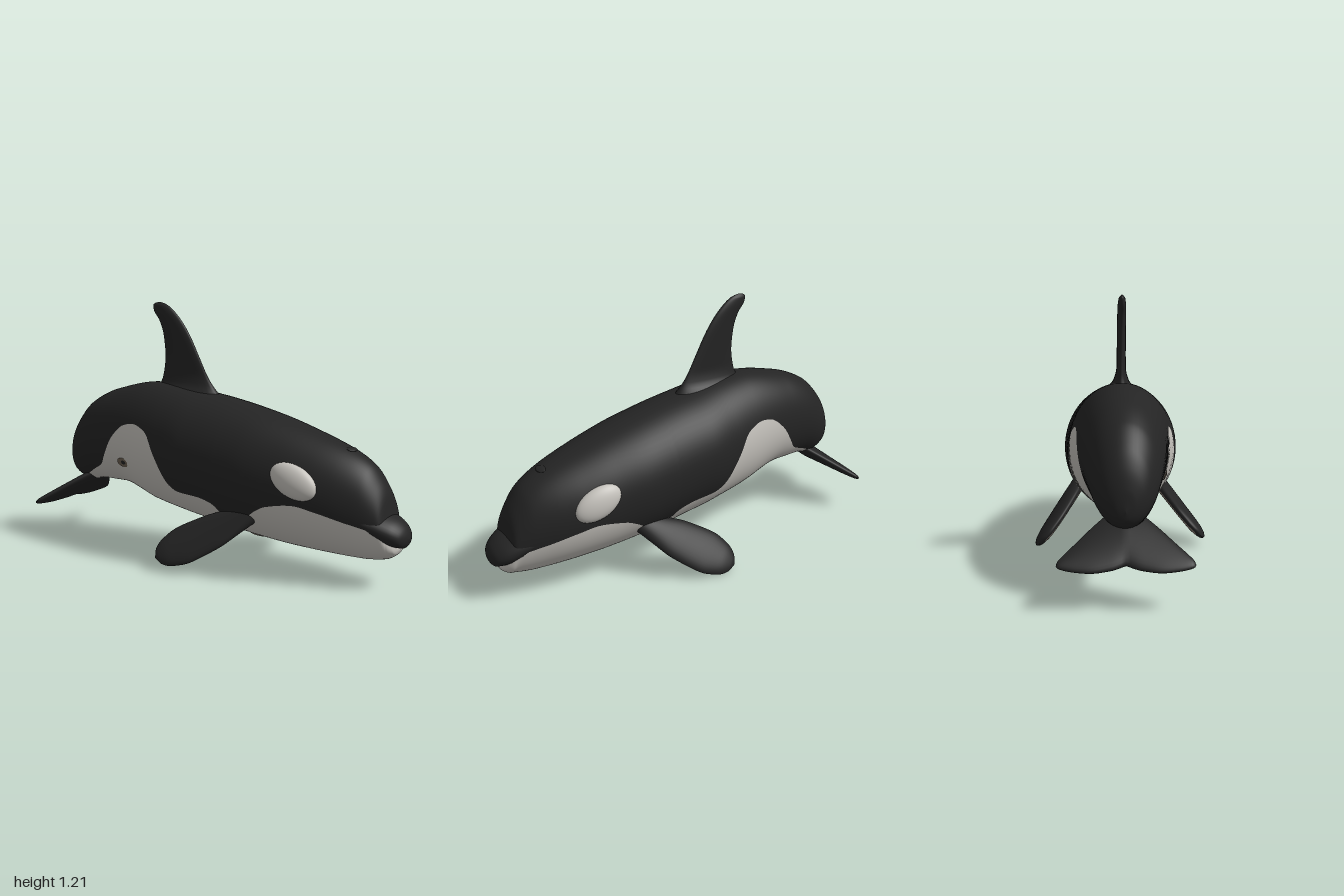
import * as THREE from 'three';

const paint = (name, color) => {
  const m = new THREE.MeshStandardMaterial({ color });
  m.name = name;
  return m;
};
const black = paint('black skin', 0x242424);
const white = paint('white skin', 0xc6c3bd);
const taupe = paint('flipper underside', 0x857a70);
const brown = paint('eye rim', 0x6e6253);
const skins = [black, white, taupe];

// Smooth monotone curve through [x, value] keys
function curve(keys) {
  const last = keys.length - 1;
  const slope = i => (keys[i + 1][1] - keys[i][1]) / (keys[i + 1][0] - keys[i][0]);
  const tangent = i => {
    if (i === 0) return slope(0);
    if (i === last) return slope(last - 1);
    const a = slope(i - 1), b = slope(i);
    return a * b <= 0 ? 0 : 2 * a * b / (a + b);
  };
  return x => {
    let i = 0;
    while (i < last - 1 && x > keys[i + 1][0]) i++;
    const h = keys[i + 1][0] - keys[i][0];
    const t = THREE.MathUtils.clamp((x - keys[i][0]) / h, 0, 1);
    const t2 = t * t, t3 = t2 * t;
    return (2 * t3 - 3 * t2 + 1) * keys[i][1] + (t3 - 2 * t2 + t) * h * tangent(i)
      + (3 * t2 - 2 * t3) * keys[i + 1][1] + (t3 - t2) * h * tangent(i + 1);
  };
}

// Skin over closed rings of points; skinOf picks a skin index for each quad
function loft(name, rings, skinOf = () => 0) {
  const cols = rings[0].length, lists = skins.map(() => []);
  for (let i = 0; i < rings.length - 1; i++) {
    for (let j = 0; j < cols; j++) {
      const a = i * cols + j, b = i * cols + (j + 1) % cols;
      lists[skinOf(i, j)].push(a, b, a + cols, b, b + cols, a + cols);
    }
  }
  const geo = new THREE.BufferGeometry();
  const pos = rings.flat().flatMap(p => [p.x, p.y, p.z]);
  geo.setAttribute('position', new THREE.Float32BufferAttribute(pos, 3));
  geo.setIndex(lists.flat());
  let start = 0;
  lists.forEach((list, k) => {
    if (list.length) geo.addGroup(start, list.length, k);
    start += list.length;
  });
  geo.computeVertexNormals();
  const mesh = new THREE.Mesh(geo, skins);
  mesh.name = name;
  return mesh;
}

// Blade: section(t) gives centre, half chord and half thickness
const FIN_COLS = 32, FIN_ROWS = 48;
function fin(name, span, chord, section, skinOf) {
  const u = chord.clone().normalize();
  const v = span.clone().cross(u).normalize();
  const rings = [];
  for (let i = 0; i <= FIN_ROWS; i++) {
    const { centre, half, thick } = section((1 - Math.cos(Math.PI * i / FIN_ROWS)) / 2);
    rings.push(Array.from({ length: FIN_COLS }, (_, j) => {
      const a = 2 * Math.PI * j / FIN_COLS;
      return centre.clone().addScaledVector(u, half * Math.cos(a)).addScaledVector(v, thick * Math.sin(a));
    }));
  }
  return loft(name, rings, skinOf);
}

// Body profile along x
const top = curve([[-.912, .38], [-.905, .46], [-.88, .55], [-.84, .62], [-.75, .71], [-.6, .775], [-.35, .82],
  [0, .78], [.3, .72], [.6, .63], [.74, .575], [.82, .525], [.87, .46], [.9, .4], [.92, .3], [.95, .21], [.96, .175]]);
const bottom = curve([[-.912, .375], [-.905, .34], [-.88, .31], [-.8, .285], [-.7, .3], [-.55, .3], [-.3, .23],
  [0, .18], [.2, .15], [.5, .12], [.8, .11], [.9, .122], [.95, .15], [.96, .17]]);
const width = curve([[-.912, 0], [-.905, .04], [-.88, .085], [-.84, .115], [-.75, .15], [-.6, .18], [-.4, .212],
  [-.2, .243], [-.05, .262], [.25, .262], [.45, .243], [.6, .218], [.7, .192], [.8, .155], [.88, .118], [.92, .095],
  [.95, .055], [.96, 0]]);
// Height of the border between dark back and white belly
const border = curve([[-.9, .29], [-.85, .295], [-.8, .31], [-.7, .36], [-.62, .4], [-.58, .45], [-.5, .56],
  [-.42, .62], [-.36, .63], [-.27, .6], [-.2, .49], [-.12, .36], [-.07, .335], [.05, .325], [.13, .3], [.16, .265],
  [.3, .265], [.36, .3], [.42, .33], [.55, .35], [.65, .33], [.8, .285], [.9, .26], [.96, .26]]);

function sideZ(x, y) {
  const c = (top(x) + bottom(x)) / 2, r = (top(x) - bottom(x)) / 2;
  return width(x) * Math.sqrt(Math.max(0, 1 - ((y - c) / r) ** 2));
}

function makeBody() {
  const rows = 180, half = 40, rings = [], xs = [];
  for (let i = 0; i <= rows; i++) {
    const x = .024 - .936 * Math.cos(Math.PI * i / rows);
    const c = (top(x) + bottom(x)) / 2, r = (top(x) - bottom(x)) / 2;
    const cut = Math.acos(THREE.MathUtils.clamp((border(x) - c) / r, -.995, .995));
    xs.push(x);
    rings.push(Array.from({ length: 2 * half }, (_, j) => {
      const a = j < half ? -cut + 2 * cut * j / half
        : cut + 2 * (Math.PI - cut) * (j - half) / half;
      return new THREE.Vector3(x, c + r * Math.cos(a), width(x) * Math.sin(a));
    }));
  }
  return loft('body', rings, (i, j) => (j >= half && xs[i] > -.85 ? 1 : 0));
}

// Dark upper beak over the white jaw
function makeBeak() {
  const up = curve([[.7, .36], [.8, .35], [.88, .33], [.94, .305], [.98, .272], [.995, .245], [1, .225]]);
  const low = curve([[.7, .3], [.8, .258], [.88, .212], [.94, .185], [.98, .182], [.995, .2], [1, .224]]);
  const wide = curve([[.7, .16], [.8, .148], [.88, .125], [.94, .102], [.98, .07], [.995, .035], [1, 0]]);
  return fin('beak', new THREE.Vector3(1, 0, 0), new THREE.Vector3(0, 1, 0), t => {
    const x = .7 + .3 * t;
    return { centre: new THREE.Vector3(x, (up(x) + low(x)) / 2, 0), half: (up(x) - low(x)) / 2, thick: wide(x) };
  });
}

function makeDorsalFin() {
  const back = curve([[.72, -.38], [.78, -.365], [.85, -.33], [.95, -.315], [1.05, -.325], [1.12, -.35],
    [1.17, -.385], [1.195, -.39], [1.207, -.375], [1.211, -.35]]);
  const front = curve([[.72, .06], [.78, 0], [.85, -.055], [.95, -.11], [1.05, -.165], [1.12, -.215],
    [1.17, -.265], [1.195, -.3], [1.207, -.33], [1.211, -.35]]);
  const thick = curve([[.72, .09], [.78, .065], [.82, .035], [.88, .021], [1.15, .019], [1.195, .014], [1.211, 0]]);
  return fin('dorsalFin', new THREE.Vector3(0, 1, 0), new THREE.Vector3(1, 0, 0), t => {
    const y = .72 + .491 * t;
    return { centre: new THREE.Vector3((back(y) + front(y)) / 2, y, 0), half: (front(y) - back(y)) / 2, thick: thick(y) };
  });
}

// Both tail flukes as one tilted blade
function makeFlukes() {
  const lead = curve([[0, -.72], [.06, -.75], [.12, -.8], [.2, -.88], [.25, -.93], [.268, -.952], [.272, -.965]]);
  const trail = curve([[0, -.965], [.06, -.985], [.14, -.995], [.2, -.99], [.25, -.98], [.268, -.972], [.272, -.965]]);
  const thick = curve([[0, .034], [.1, .026], [.22, .016], [.26, .01], [.272, 0]]);
  return fin('tailFlukes', new THREE.Vector3(0, 0, 1), new THREE.Vector3(.81, .58, 0), t => {
    const z = (t * 2 - 1) * .272, s = Math.abs(z);
    const x = (lead(s) + trail(s)) / 2;
    return { centre: new THREE.Vector3(x, .165 + (x + .985) * .72, z), half: (lead(s) - trail(s)) / 1.62, thick: thick(s) };
  });
}

// Paddle flipper, taupe on the inner face with a dark rim
function makeFlipper(side) {
  const root = new THREE.Vector3(.34, .29, side * .17);
  const tip = new THREE.Vector3(-.075, side > 0 ? .055 : .02, side * .39);
  const half = curve([[0, .04], [.2, .068], [.45, .1], [.7, .108], [.88, .082], [.96, .048], [1, 0]]);
  const thick = curve([[0, .035], [.5, .03], [.85, .026], [.96, .016], [1, 0]]);
  return fin(side > 0 ? 'leftSideFlipper' : 'rightSideFlipper', tip.clone().sub(root),
    new THREE.Vector3(.68, -.55, side * .48),
    t => ({ centre: root.clone().lerp(tip, t), half: half(t), thick: thick(t) }),
    (i, j) => (i > 14 && i < 42 && side * Math.sin(2 * Math.PI * (j + .5) / FIN_COLS) < -.5 ? 2 : 0));
}

function oval(name, material, position, scale, rotation) {
  const mesh = new THREE.Mesh(new THREE.SphereGeometry(1, 40, 24), material);
  mesh.name = name;
  mesh.position.set(...position);
  mesh.scale.set(...scale);
  mesh.rotation.set(...rotation);
  return mesh;
}

export function createModel() {
  const model = new THREE.Group();
  model.name = 'whale';
  model.add(makeBody(), makeBeak(), makeDorsalFin(), makeFlukes());
  for (const side of [1, -1]) {
    model.add(makeFlipper(side));
    model.add(oval('eyePatch', white, [.55, .455, side * .212], [.115, .07, .04], [side * -.2, side * .2, -.42]));
  }
  // Small marking on the flank and the blowhole
  const z = sideZ(-.44, .43);
  model.add(oval('flankMarkRim', brown, [-.44, .43, z], [.04, .024, .005], [.32, -.1, 0]));
  model.add(oval('flankMarkCentre', black, [-.435, .432, z + .003], [.018, .012, .005], [.32, -.1, 0]));
  model.add(oval('blowhole', black, [.72, top(.72), 0], [.02, .006, .035], [0, 0, -.35]));
  return model;
}
